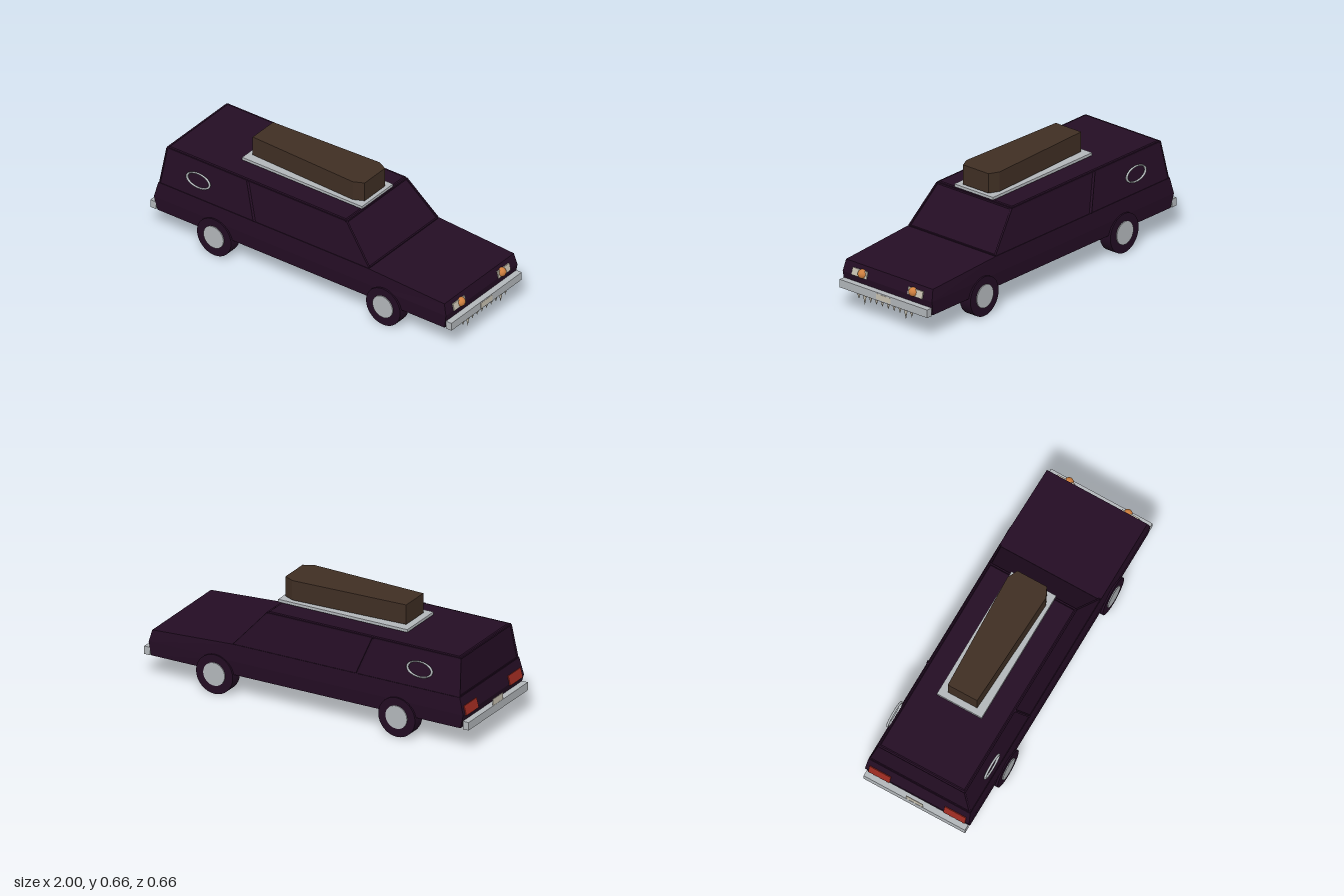
import * as THREE from 'three';

const mat = (name, color, extra = {}) => {
  const m = new THREE.MeshStandardMaterial({ color, ...extra });
  m.name = name;
  return m;
};

// Closed solid from stacked levels; each level has three [x, y, halfWidth] stations, rear to front
function loft(levels) {
  const pos = [], idx = [];
  for (const [r, m, f] of levels) {
    for (const [x, y, z] of [r, m, f]) pos.push(x, y, z);
    for (const [x, y, z] of [f, m, r]) pos.push(x, y, -z);
  }
  const quad = (a, b, c, d) => idx.push(a, b, c, a, c, d);
  for (let l = 0; l < levels.length - 1; l++) {
    for (let i = 0; i < 6; i++) {
      const j = (i + 1) % 6, o = l * 6;
      quad(o + i, o + j, o + 6 + j, o + 6 + i);
    }
  }
  const t = (levels.length - 1) * 6;
  quad(t, t + 1, t + 4, t + 5);
  quad(t + 1, t + 2, t + 3, t + 4);
  quad(5, 4, 1, 0);
  quad(4, 3, 2, 1);
  const g = new THREE.BufferGeometry();
  g.setAttribute('position', new THREE.Float32BufferAttribute(pos, 3));
  g.setIndex(idx);
  const flat = g.toNonIndexed();
  flat.computeVertexNormals();
  return flat;
}

export function createModel() {
  const car = new THREE.Group();
  car.name = 'hearse';
  const paint = mat('dark plum paint', 0x240d24, { flatShading: true });
  const tyre = mat('tyre', 0x220c23);
  const silver = mat('silver', 0xb2b6ba);
  const wood = mat('dark wood', 0x3f2e23);
  const bone = mat('bone', 0xc9c2b2);
  const amber = mat('amber lamp', 0xd0803f);
  const red = mat('red lamp', 0x9c2a20);

  const add = (name, geo, material, x = 0, y = 0, z = 0) => {
    const m = new THREE.Mesh(geo, material);
    m.name = name;
    m.position.set(x, y, z);
    car.add(m);
    return m;
  };
  const box = (name, material, w, h, d, x, y, z) =>
    add(name, new THREE.BoxGeometry(w, h, d), material, x, y, z);
  // Slim bar between two points
  const strip = (name, a, b, w, h = w) => {
    const p = new THREE.Vector3(...a), q = new THREE.Vector3(...b);
    const m = box(name, paint, w, h, p.distanceTo(q), 0, 0, 0);
    m.position.copy(p).add(q).multiplyScalar(0.5);
    m.lookAt(q);
  };

  // Lower body with sloping bonnet
  add('lowerBody', loft([
    [[-0.95, 0.13, 0.312], [0.45, 0.13, 0.312], [0.955, 0.13, 0.312]],
    [[-0.97, 0.21, 0.318], [0.45, 0.21, 0.318], [0.967, 0.21, 0.316]],
    [[-0.945, 0.305, 0.311], [0.45, 0.305, 0.311], [0.95, 0.276, 0.307]],
  ]), paint);

  // Cabin and roof
  add('cabin', loft([
    [[-0.937, 0.303, 0.308], [0, 0.303, 0.308], [0.447, 0.303, 0.308]],
    [[-0.92, 0.508, 0.266], [0, 0.508, 0.266], [0.268, 0.508, 0.266]],
    [[-0.91, 0.517, 0.255], [0, 0.517, 0.255], [0.258, 0.517, 0.255]],
  ]), paint);

  // Window frames on the sides and both ends
  for (const s of [1, -1]) {
    strip('doorPillar', [-0.31, 0.306, s * 0.308], [-0.385, 0.51, s * 0.266], 0.018, 0.01);
    strip('roofRail', [-0.92, 0.508, s * 0.263], [0.265, 0.508, s * 0.263], 0.009);
    strip('windscreenPillar', [0.447, 0.306, s * 0.303], [0.268, 0.508, s * 0.262], 0.01);
    strip('rearPillar', [-0.937, 0.306, s * 0.303], [-0.92, 0.508, s * 0.262], 0.01);
  }
  for (const [x, y, z] of [[0.447, 0.306, 0.305], [0.268, 0.508, 0.262],
    [-0.937, 0.306, 0.305], [-0.92, 0.508, 0.262]]) {
    strip('windowRail', [x, y, -z], [x, y, z], 0.009);
  }

  // Wheels with hub caps
  for (const x of [-0.565, 0.557]) {
    for (const s of [1, -1]) {
      add('wheel', new THREE.CylinderGeometry(0.113, 0.113, 0.075, 32), tyre, x, 0.113, s * 0.288)
        .rotation.x = Math.PI / 2;
      add('hubCap', new THREE.CylinderGeometry(0.066, 0.066, 0.008, 32), silver, x, 0.115, s * 0.327)
        .rotation.x = Math.PI / 2;
    }
  }

  // Bumpers and number plates
  for (const s of [1, -1]) box('bumper', silver, 0.036, 0.046, 0.62, s * 0.981, 0.15, 0);
  box('frontPlate', bone, 0.004, 0.032, 0.104, 0.998, 0.15, 0);
  box('rearPlate', bone, 0.004, 0.04, 0.104, -0.996, 0.19, 0);

  // Fangs under the front bumper
  for (let i = 0; i < 10; i++) {
    const len = i === 1 || i === 8 ? 0.062 : 0.038;
    add('fang', new THREE.ConeGeometry(0.011, len, 12), bone, 0.983, 0.128 - len / 2, (i - 4.5) * 0.0415)
      .rotation.x = Math.PI;
  }

  // Lamps
  for (const s of [1, -1]) {
    box('headlampPanel', bone, 0.009, 0.042, 0.104, 0.964, 0.229, s * 0.197).rotation.z = 0.2;
    add('headlamp', new THREE.SphereGeometry(0.026, 24, 16), amber, 0.963, 0.23, s * 0.18);
    box('tailLamp', red, 0.009, 0.055, 0.13, -0.966, 0.228, s * 0.23).rotation.z = -0.25;
  }

  // Oval rings on the rear quarters
  for (const s of [1, -1]) {
    add('ovalRing', new THREE.TorusGeometry(0.075, 0.007, 10, 40), silver, -0.69, 0.408, s * 0.298)
      .scale.set(1, 0.59, 0.9);
  }

  // Roof rack and coffin
  box('roofRack', silver, 0.795, 0.016, 0.274, -0.122, 0.531, 0);
  const outline = [[-0.485, 0.09], [0.2, 0.118], [0.258, 0.09]];
  const pts = [...outline, ...outline.map(([x, z]) => [x, -z]).reverse()];
  const coffin = new THREE.ExtrudeGeometry(
    new THREE.Shape(pts.map(([x, z]) => new THREE.Vector2(x, z))),
    { depth: 0.113, bevelEnabled: false });
  add('coffin', coffin, wood, 0, 0.544, 0).rotation.x = -Math.PI / 2;

  return car;
}
